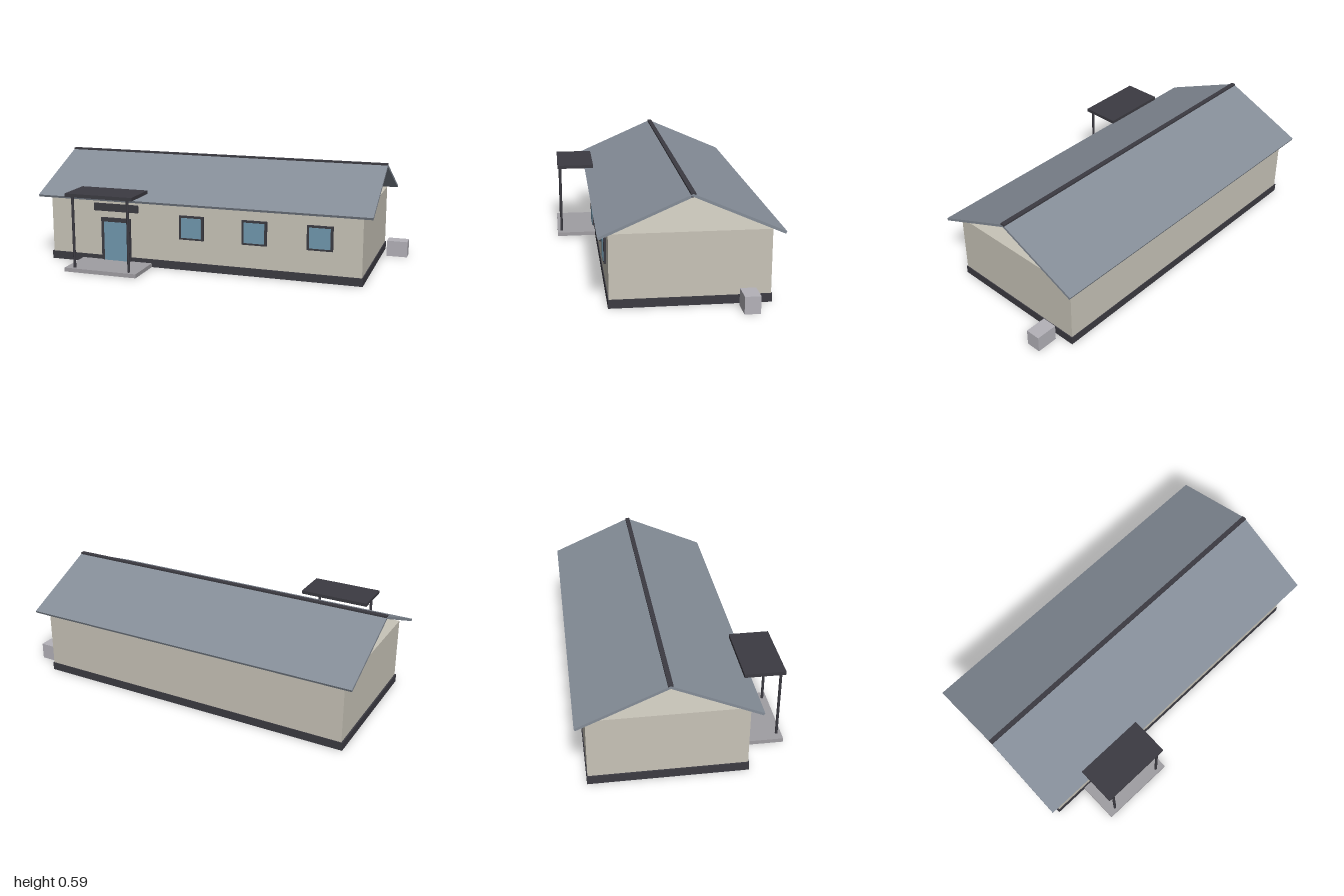
import * as THREE from 'three';

const mat = (color) => new THREE.MeshStandardMaterial({ color });

export function createModel() {
  const model = new THREE.Group();
  const wallMat = mat(0xc8c4b8), darkMat = mat(0x3c3b42), roofMat = mat(0x858d98);
  const glassMat = mat(0x7098ae), stepMat = mat(0xa09ea3), unitMat = mat(0xb4b2b9);

  const add = (name, geometry, material) => {
    const mesh = new THREE.Mesh(geometry, material);
    mesh.name = name;
    model.add(mesh);
    return mesh;
  };
  // Box given by its extents along each axis
  const box = (name, [x0, x1], [y0, y1], [z0, z1], material) =>
    add(name, new THREE.BoxGeometry(x1 - x0, y1 - y0, z1 - z0), material)
      .position.set((x0 + x1) / 2, (y0 + y1) / 2, (z0 + z1) / 2);

  // Main body on a dark plinth
  box('plinth', [-0.953, 0.853], [0, 0.045], [-0.497, 0.322], darkMat);
  box('walls', [-0.945, 0.848], [0.045, 0.38], [-0.493, 0.318], wallMat);

  // Two thin roof slabs over open gables, mirrored about the ridge
  const ridgeZ = -0.0875, x0 = -1, x1 = 0.904;
  for (const side of [1, -1]) {
    const slab = new THREE.Shape([
      [0, 0.584], [0.46, 0.383], [0.4545, 0.3705], [0, 0.569],
    ].map(([z, y]) => new THREE.Vector2(-(ridgeZ + side * z), y)));
    const geometry = new THREE.ExtrudeGeometry(slab, { depth: x1 - x0, bevelEnabled: false });
    geometry.rotateY(Math.PI / 2).translate(x0, 0, 0);
    add(side > 0 ? 'frontRoofSlab' : 'backRoofSlab', geometry, roofMat);
  }
  box('ridgeCap', [x0, x1], [0.568, 0.588], [ridgeZ - 0.0125, ridgeZ + 0.0125], darkMat);

  // Front windows: frame with a slightly raised pane
  for (const x of [-0.0935, 0.2645, 0.6225]) {
    box('windowFrame', [x - 0.07, x + 0.07], [0.176, 0.31], [0.31, 0.331], darkMat);
    box('windowPane', [x - 0.057, x + 0.057], [0.187, 0.299], [0.32, 0.334], glassMat);
  }

  // Entrance: door, panel above it and step
  box('doorFrame', [-0.634, -0.457], [0.022, 0.267], [0.31, 0.33], darkMat);
  box('door', [-0.616, -0.474], [0.022, 0.244], [0.32, 0.333], glassMat);
  box('doorHeadPanel', [-0.678, -0.41], [0.304, 0.347], [0.31, 0.327], darkMat);
  box('step', [-0.757, -0.333], [0, 0.022], [0.32, 0.55], stepMat);

  // Flat canopy on two slim posts
  box('canopy', [-0.745, -0.35], [0.419, 0.438], [0.326, 0.541], darkMat);
  for (const x of [-0.706, -0.382]) {
    add('canopyPost', new THREE.CylinderGeometry(0.0075, 0.0075, 0.397, 12), darkMat)
      .position.set(x, 0.2205, 0.525);
  }

  // Service unit beside the end wall
  box('serviceUnit', [0.882, 1], [0, 0.091], [-0.408, -0.327], unitMat);

  return model;
}
